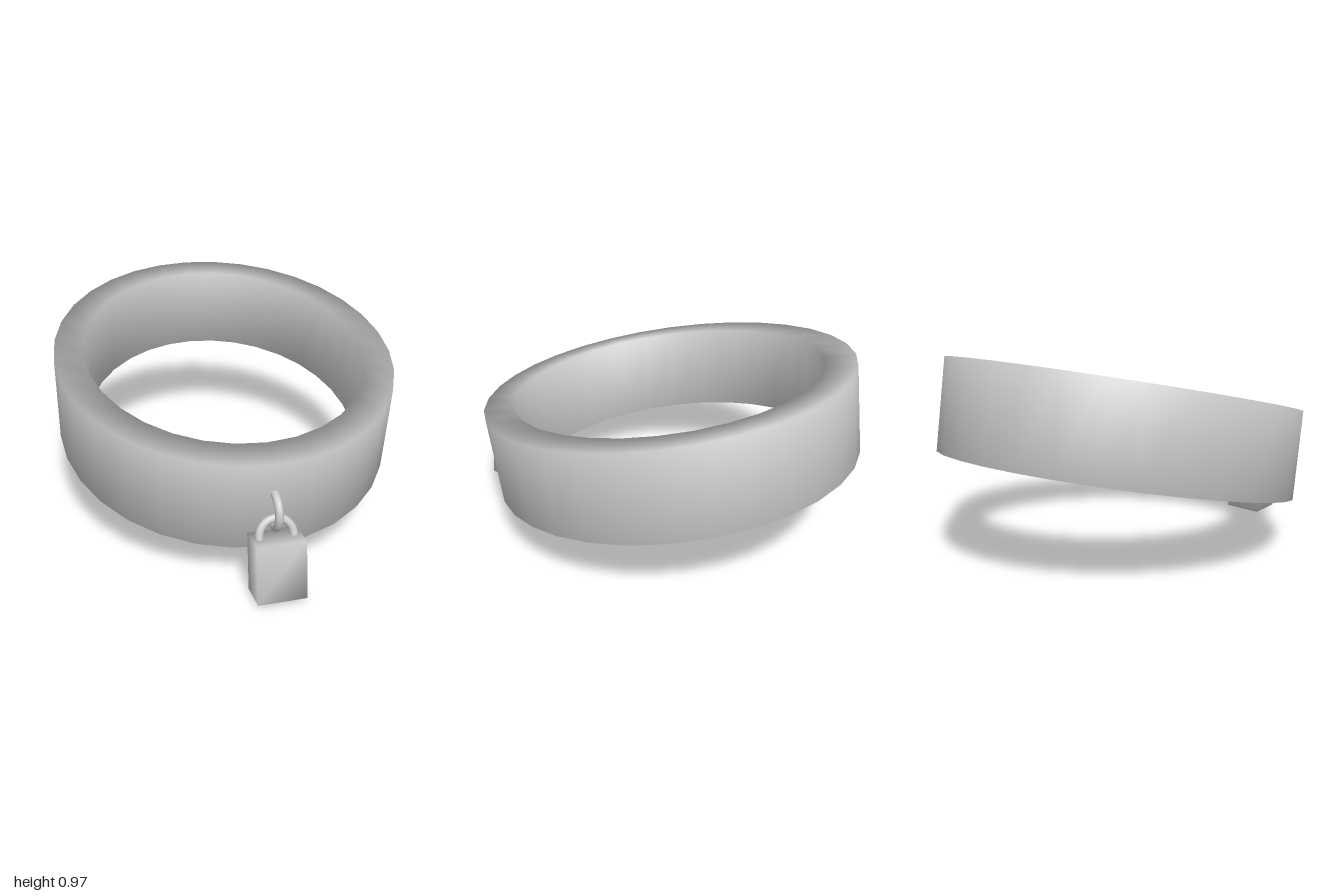
import * as THREE from 'three';
import { mergeVertices } from 'three/addons/utils/BufferGeometryUtils.js';

const metal = new THREE.MeshStandardMaterial({ color: 0xcccccc });
metal.name = 'light grey';

// Oval band: a four-point section swept round a tilted, slightly sheared ellipse
function bandGeometry() {
  const segments = 32;
  // [x radius, z radius, height along the leaning axis from -1 to 1]
  const section = [[0.82, 0.905, -1], [0.82, 0.905, 1], [0.68, 0.76, 1], [0.68, 0.76, -1]];
  const n = section.length;
  const positions = [], index = [];
  for (let i = 0; i < segments; i++) {
    const a = (i / segments) * Math.PI * 2;
    for (const [rx, rz, h] of section) {
      const f = rz * Math.cos(a);
      positions.push(rx * Math.sin(a), 0.579 - 0.203 * f + 0.214 * h, -0.065 + f + 0.03 * h);
    }
    const next = (i + 1) % segments;
    for (let j = 0; j < n; j++) {
      const k = (j + 1) % n;
      const p = i * n + j, q = next * n + j, r = next * n + k, s = i * n + k;
      index.push(p, q, r, p, r, s);
    }
  }
  const g = new THREE.BufferGeometry();
  g.setAttribute('position', new THREE.Float32BufferAttribute(positions, 3));
  g.setIndex(index);
  g.computeVertexNormals();
  return g;
}

// Box whose corners share one softened normal
function softBox(w, h, d) {
  const g = new THREE.BoxGeometry(w, h, d);
  g.deleteAttribute('normal');
  g.deleteAttribute('uv');
  const merged = mergeVertices(g);
  merged.computeVertexNormals();
  return merged;
}

export function createModel() {
  const model = new THREE.Group();
  model.name = 'collarWithPadlock';
  const add = (parent, name, geometry) => {
    const mesh = new THREE.Mesh(geometry, metal);
    mesh.name = name;
    parent.add(mesh);
    return mesh;
  };

  add(model, 'band', bandGeometry());

  // Ring set into the front of the band
  const loop = add(model, 'frontRing', new THREE.TorusGeometry(0.077, 0.018, 12, 32));
  loop.rotation.y = Math.PI / 2;
  loop.position.set(0, 0.385, 0.843);

  // Padlock hanging from the ring
  const padlock = new THREE.Group();
  padlock.name = 'padlock';
  model.add(padlock);

  const body = add(padlock, 'padlockBody', softBox(0.216, 0.267, 0.146));
  body.position.set(0, 0.148, 0.91);
  body.rotation.x = -0.135;

  // Shackle: half ring with short legs running into the body
  const shackle = new THREE.Group();
  shackle.name = 'shackle';
  shackle.position.set(0, 0.282, 0.888);
  shackle.rotation.x = -0.35;
  padlock.add(shackle);
  add(shackle, 'shackleArch', new THREE.TorusGeometry(0.076, 0.018, 12, 20, Math.PI));
  for (const side of [-1, 1]) {
    const leg = add(shackle, 'shackleLeg', new THREE.CylinderGeometry(0.018, 0.018, 0.04, 12));
    leg.position.set(side * 0.076, -0.02, 0);
  }

  return model;
}
